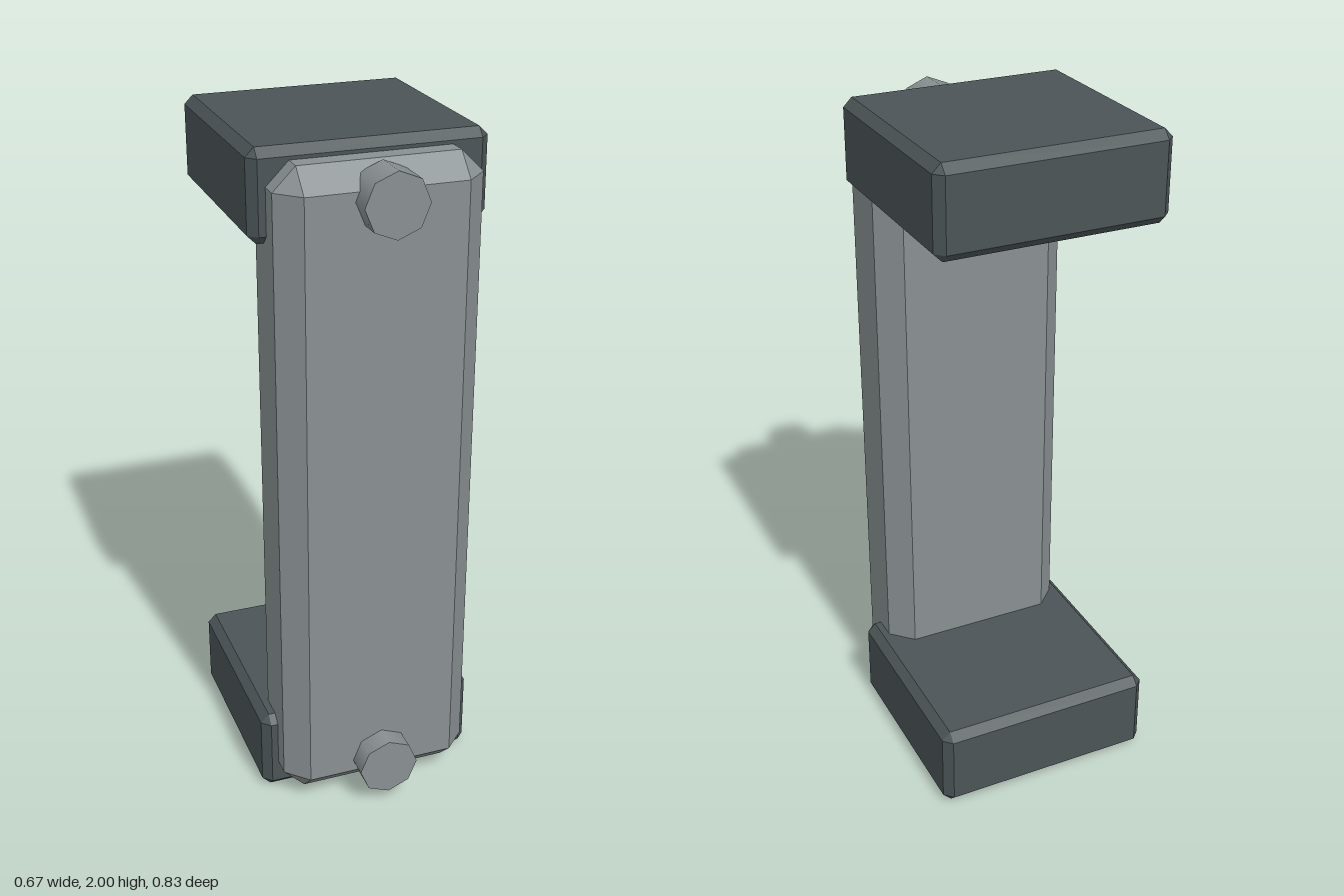
import * as THREE from 'three';
import { ConvexGeometry } from 'three/addons/geometries/ConvexGeometry.js';

// Box with every edge cut at 45 degrees, given by its min and max corners
function chamferedBox(min, max, c) {
  const lo = new THREE.Vector3(...min), hi = new THREE.Vector3(...max);
  const mid = lo.clone().add(hi).multiplyScalar(0.5);
  const half = hi.clone().sub(lo).multiplyScalar(0.5);
  const points = [];
  for (const sx of [-1, 1]) for (const sy of [-1, 1]) for (const sz of [-1, 1]) {
    for (const axis of ['x', 'y', 'z']) {
      const p = half.clone().subScalar(c);
      p[axis] += c;
      points.push(p.multiply(new THREE.Vector3(sx, sy, sz)).add(mid));
    }
  }
  return new ConvexGeometry(points);
}

export function createModel() {
  const model = new THREE.Group();
  model.name = 'handle';
  const gripMaterial = new THREE.MeshStandardMaterial({ color: 0x899092, flatShading: true });
  const boltMaterial = new THREE.MeshStandardMaterial({ color: 0x899092 });
  const blockMaterial = new THREE.MeshStandardMaterial({ color: 0x4b5457, flatShading: true });

  const add = (name, geometry, material) => {
    const mesh = new THREE.Mesh(geometry, material);
    mesh.name = name;
    model.add(mesh);
    return mesh;
  };

  // Upright grip bar
  add('grip', chamferedBox([-0.29, 0.03, 0.07], [0.29, 1.965, 0.348], 0.064), gripMaterial);

  // Mounting blocks at both ends
  add('lowerBlock', chamferedBox([-0.335, 0, -0.413], [0.335, 0.258, 0.23], 0.025), blockMaterial);
  add('upperBlock', chamferedBox([-0.335, 1.745, -0.413], [0.335, 2, 0.23], 0.025), blockMaterial);

  // Eight-sided bolts through the front of the grip
  const boltGeometry = new THREE.CylinderGeometry(0.09, 0.09, 0.11, 8).rotateX(Math.PI / 2);
  for (const [name, y] of [['lowerBolt', 0.132], ['upperBolt', 1.875]]) {
    add(name, boltGeometry, boltMaterial).position.set(0, y, 0.358);
  }
  return model;
}
